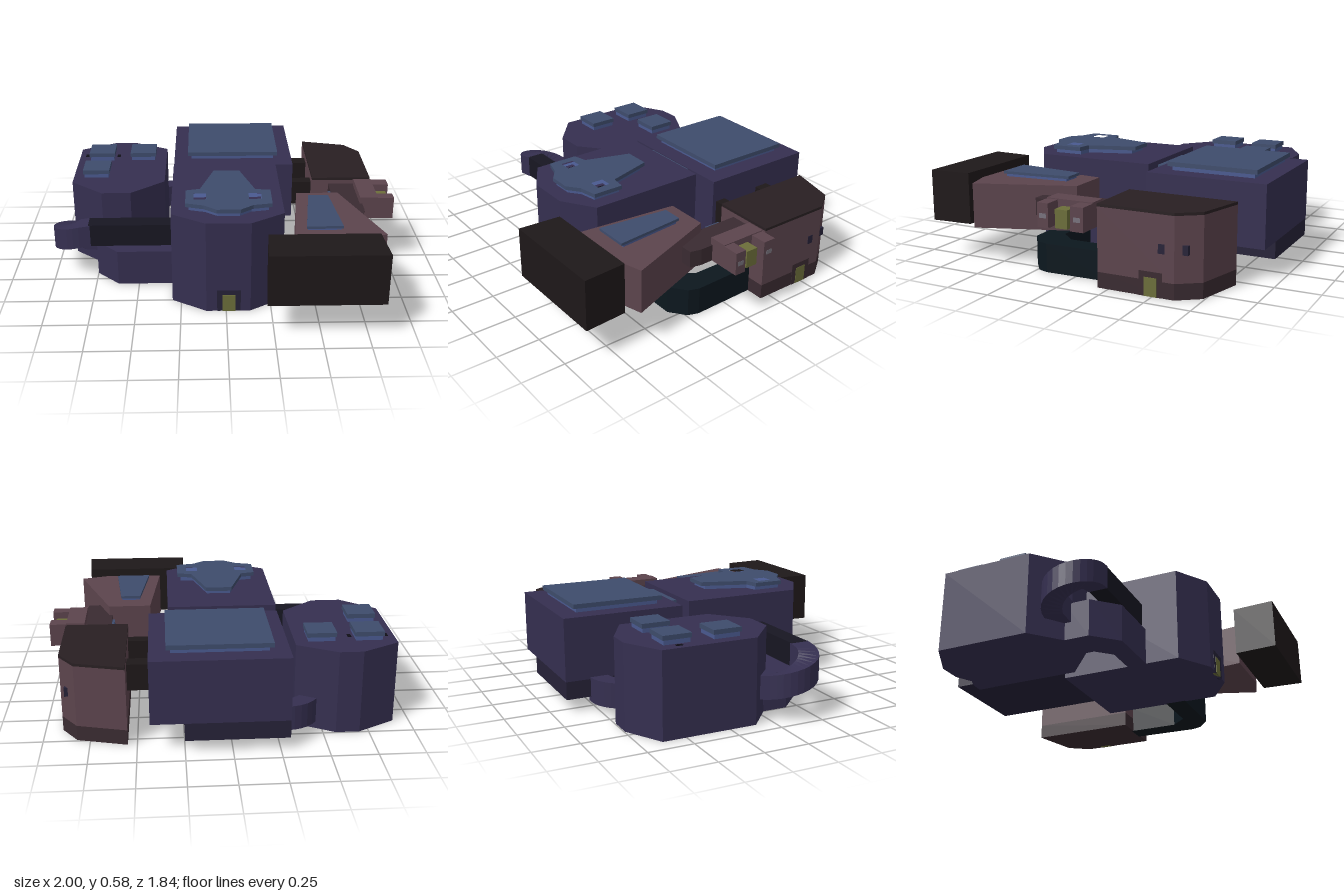
import * as THREE from 'three';

const mat = (color, side = THREE.FrontSide) => new THREE.MeshStandardMaterial({ color, side });
const PURPLE = mat(0x352f50), DUSK = mat(0x262238), PINK = mat(0x5c444d), MAROON = mat(0x3a2b31);
const BLUE = mat(0x3e4c6c), NECK = mat(0x4a5a90), GREEN = mat(0x6c6e3a), GREY = mat(0x77727c);
const TEAL = mat(0x0c171e), BROWN = mat(0x1e1819), ROOF = mat(0x281f22), DARK = mat(0x100f16);
const TUNNEL = mat(0x352f50, THREE.DoubleSide), DARK_TUNNEL = mat(0x171622, THREE.DoubleSide);

export function createModel() {
  const model = new THREE.Group();

  const add = (name, geometry, material) => {
    const mesh = new THREE.Mesh(geometry, material);
    mesh.name = name;
    model.add(mesh);
  };

  // Upright prism from an (x, z) footprint between two heights
  const prism = (name, pts, y0, y1, material, holes = []) => {
    const toV = ([x, z]) => new THREE.Vector2(x, -z);
    const shape = new THREE.Shape(pts.map(toV));
    for (const hole of holes) shape.holes.push(new THREE.Path(hole.map(toV)));
    const geo = new THREE.ExtrudeGeometry(shape, { depth: y1 - y0, bevelEnabled: false });
    geo.rotateX(-Math.PI / 2).translate(0, y0, 0);
    add(name, geo, material);
  };

  // Box given by its extents
  const box = (name, x0, x1, y0, y1, z0, z1, material) =>
    add(name, new THREE.BoxGeometry(x1 - x0, y1 - y0, z1 - z0)
      .translate((x0 + x1) / 2, (y0 + y1) / 2, (z0 + z1) / 2), material);

  const rect = (x0, x1, z0, z1) => [[x0, z0], [x1, z0], [x1, z1], [x0, z1]];

  // Skylight: inset neck with a slightly wider cap
  const skylight = (name, pts, y0, y1, holes = []) => {
    const cx = pts.reduce((s, p) => s + p[0], 0) / pts.length;
    const cz = pts.reduce((s, p) => s + p[1], 0) / pts.length;
    const neck = pts.map(([x, z]) => [cx + (x - cx) * 0.92, cz + (z - cz) * 0.92]);
    const mid = y0 + (y1 - y0) * 0.5;
    prism(name + 'Neck', neck, y0 - 0.01, mid, NECK, holes);
    prism(name + 'Cap', pts, mid, y1, BLUE, holes);
  };

  // Rectangular tunnel swept along [x, y, z] points, kept upright
  const tunnel = (name, path, w, h, material) => {
    const pos = [], index = [];
    path.forEach(([x, y, z], i) => {
      const a = path[Math.max(i - 1, 0)], b = path[Math.min(i + 1, path.length - 1)];
      const len = Math.hypot(b[0] - a[0], b[2] - a[2]);
      const nx = -(b[2] - a[2]) / len * w / 2, nz = (b[0] - a[0]) / len * w / 2;
      for (const [s, u] of [[1, -1], [1, 1], [-1, 1], [-1, -1]])
        pos.push(x + s * nx, y + u * h / 2, z + s * nz);
    });
    for (let i = 0; i < path.length - 1; i++)
      for (let k = 0; k < 4; k++) {
        const a = i * 4 + k, d = i * 4 + (k + 1) % 4;
        index.push(a, a + 4, d + 4, a, d + 4, d);
      }
    const geo = new THREE.BufferGeometry();
    geo.setAttribute('position', new THREE.Float32BufferAttribute(pos, 3));
    geo.setIndex(index);
    const flat = geo.toNonIndexed();
    flat.computeVertexNormals();
    add(name, flat, material);
  };

  // West hall with three small skylights
  prism('westHall', [[-0.91, -0.63], [-0.7, -0.745], [-0.57, -0.745], [-0.355, -0.63],
    [-0.355, -0.1], [-0.55, 0.065], [-0.72, 0.065], [-0.91, -0.1]], 0, 0.47, PURPLE);
  for (const [x, z] of [[-0.762, -0.515], [-0.502, -0.515], [-0.772, -0.24]])
    skylight('westSkylight', rect(x - 0.08, x + 0.08, z - 0.08, z + 0.08), 0.47, 0.52);
  for (const x of [-0.865, -0.663])
    box('westRoofVent', x - 0.01, x + 0.01, 0.46, 0.473, -0.535, -0.5, DARK);

  // Rear hall on a narrower base, with one large skylight
  box('rearHall', -0.3, 0.43, 0.17, 0.52, -0.92, -0.23, PURPLE);
  box('rearBase', -0.3, 0.25, 0.07, 0.17, -0.918, -0.23, DUSK);
  skylight('rearSkylight', rect(-0.215, 0.34, -0.835, -0.315), 0.52, 0.57);
  box('hallLink', -0.14, 0.2, 0.1, 0.515, -0.24, -0.18, BLUE);

  // Front hall with a shaped skylight and entrance
  prism('frontHall', [[-0.3, -0.19], [0.32, -0.19], [0.32, 0.5], [0.135, 0.62],
    [-0.11, 0.62], [-0.3, 0.5]], 0, 0.54, PURPLE);
  skylight('frontSkylight', [[-0.06, 0.01], [0.09, 0.01], [0.17, 0.28], [0.255, 0.29],
    [0.255, 0.47], [0.15, 0.49], [0.08, 0.545], [-0.05, 0.545], [-0.12, 0.49],
    [-0.22, 0.46], [-0.22, 0.29], [-0.14, 0.27]], 0.54, 0.585,
  [rect(-0.175, -0.105, 0.335, 0.41), rect(0.13, 0.2, 0.335, 0.41)]);
  for (const x of [-0.14, 0.165]) box('skylightWell', x - 0.04, x + 0.04, 0.53, 0.545, 0.33, 0.415, DARK);
  box('entranceFrame', -0.05, 0.08, 0, 0.13, 0.6, 0.621, DUSK);
  box('entranceDoor', -0.02, 0.05, 0, 0.1, 0.6, 0.623, GREEN);

  // East hall: dark plinth, pink walls, dark roof, side door and windows
  const east = [[0.55, -0.81], [0.82, -0.74], [0.905, -0.62], [0.905, -0.19], [0.55, -0.19]];
  prism('eastPlinth', east, 0, 0.085, MAROON);
  prism('eastHall', east, 0.085, 0.43, PINK);
  prism('eastRoof', east, 0.43, 0.445, ROOF);
  box('eastDoorFrame', 0.88, 0.907, 0, 0.13, -0.555, -0.425, MAROON);
  box('eastDoor', 0.88, 0.909, 0, 0.1, -0.525, -0.455, GREEN);
  for (const [x, z] of [[0.907, -0.55], [0.881, -0.665]])
    box('eastWindow', x - 0.03, x, 0.23, 0.28, z - 0.018, z + 0.018, DUSK);
  for (const [z0, z1] of [[-0.65, -0.565], [-0.32, -0.255]])
    box('eastLink', 0.42, 0.56, 0.24, 0.39, z0, z1, BROWN);

  // Raised trapezoid room and the long room in front of it
  prism('raisedRoom', [[0.425, 0.065], [0.67, 0.065], [0.865, 0.61], [0.71, 0.655],
    [0.365, 0.65]], 0.21, 0.46, PINK);
  skylight('raisedSkylight', [[0.485, 0.16], [0.6, 0.16], [0.635, 0.565], [0.435, 0.565]], 0.46, 0.49);
  prism('longRoom', [[0.22, 0.675], [0.815, 0.675], [0.83, 0.917], [0.205, 0.917]], 0.21, 0.5, BROWN);
  box('longRoomLink', 0.42, 0.65, 0.27, 0.39, 0.63, 0.69, BROWN);

  // Raised bridge with a three-sided lookout
  prism('bridge', [[0.65, -0.2], [0.81, -0.2], [0.815, 0.18], [0.8, 0.245], [0.7, 0.245],
    [0.65, 0.1]], 0.31, 0.405, MAROON);
  box('bridgeWindow', 0.635, 0.66, 0.33, 0.4, -0.09, 0.005, BLUE);
  box('lookoutBase', 0.8, 0.905, 0.31, 0.445, -0.165, 0.105, PINK);
  for (const [z0, z1] of [[-0.165, -0.09], [0.04, 0.105]]) {
    box('lookoutArm', 0.9, 1, 0.31, 0.44, z0, z1, PINK);
    const z = (z0 + z1) / 2;
    box('lookoutWindow', 0.98, 1.001, 0.36, 0.385, z - 0.02, z + 0.02, GREY);
  }
  box('lookoutDoor', 0.9, 0.98, 0.31, 0.41, -0.06, 0.012, GREEN);

  // Low corridors at ground level
  prism('eastCorridor', [[0.31, 0.19], [0.6, 0.19], [0.68, 0.1], [0.68, -0.2], [0.8, -0.2],
    [0.81, 0.18], [0.79, 0.24], [0.7, 0.31], [0.31, 0.31]], 0, 0.16, TEAL);
  prism('westCorridor', [[-0.75, 0.04], [-0.56, 0.04], [-0.56, 0.12], [-0.48, 0.2], [-0.29, 0.2],
    [-0.29, 0.31], [-0.62, 0.31], [-0.75, 0.18]], 0, 0.21, PURPLE);

  // Straight tunnel from the front hall, then a turn descending to the west hall
  tunnel('straightTunnel', [[-0.28, 0.305, 0.24], [-0.78, 0.305, 0.24]], 0.1, 0.13, DARK_TUNNEL);
  const ramp = [[-0.77, 0.305, 0.24]];
  for (let i = 0; i <= 14; i++) {
    const t = i / 14, a = Math.PI * t;
    ramp.push([-0.835 - 0.11 * Math.sin(a), 0.295 - 0.125 * t, 0.13 + 0.11 * Math.cos(a)]);
  }
  ramp.push([-0.7, 0.16, 0.02]);
  tunnel('windingTunnel', ramp, 0.11, 0.13, TUNNEL);

  // Short bent tunnel between the west and rear halls
  const bend = [[-0.27, 0.11, -0.73]];
  for (let i = 0; i <= 8; i++) {
    const a = Math.PI / 2 * i / 8;
    bend.push([-0.3 - 0.15 * Math.sin(a), 0.11, -0.58 - 0.15 * Math.cos(a)]);
  }
  tunnel('bentTunnel', bend, 0.1, 0.14, TUNNEL);

  return model;
}
